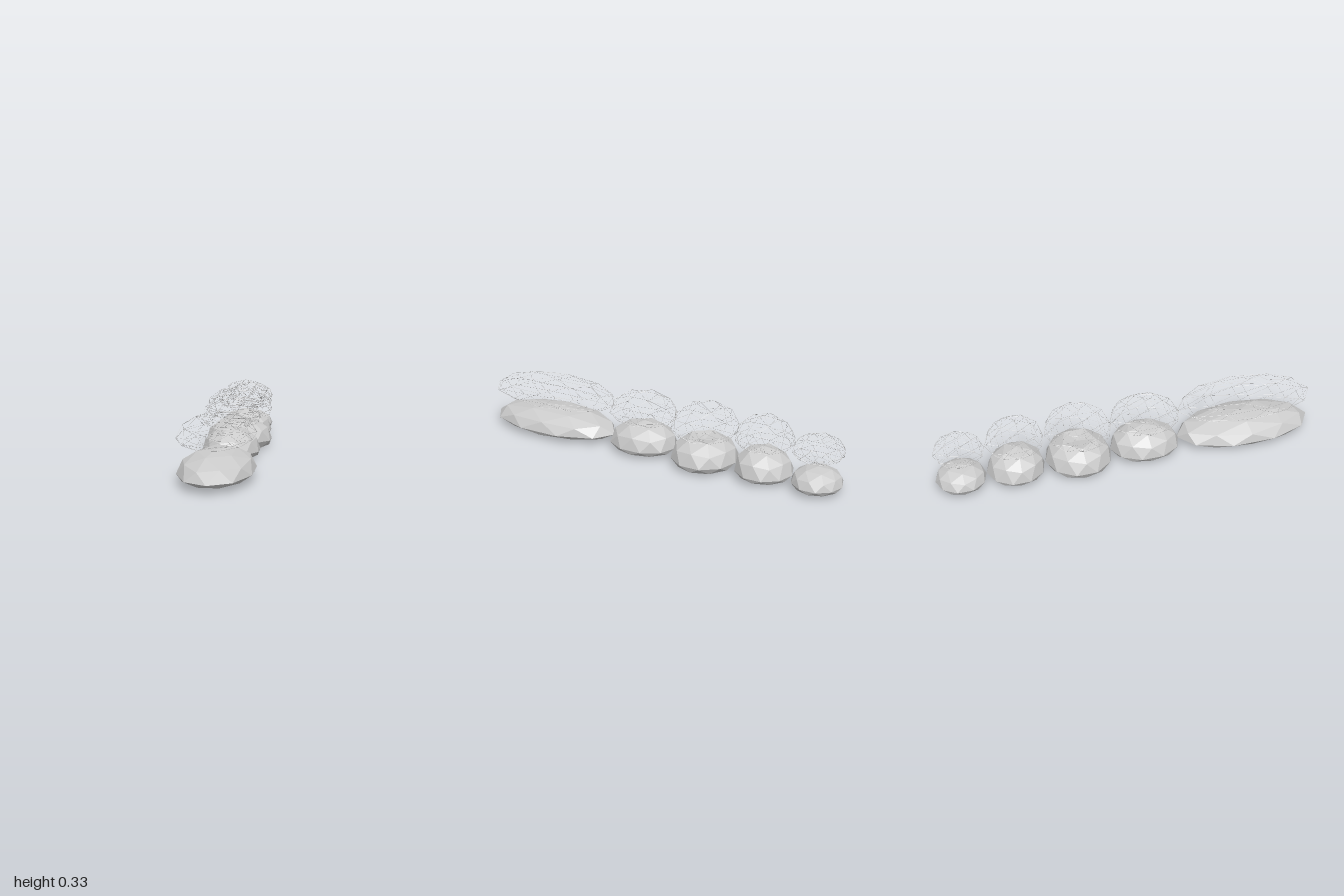
import * as THREE from 'three';
import { mergeGeometries } from 'three/addons/utils/BufferGeometryUtils.js';

const SEAM = 0.045;        // height of each stone's widest ring
const CAGE_LIFT = 0.16;    // height of the wire cages above the stones
const WIRE = 0.0007;

// z: centre, rx / rz: radii, top / bottom: heights, crown: relative height of the pole, lean: z shift of the crown
const STONES = [
  { name: 'longFrontStone', z: 0.63, rx: 0.179, rz: 0.37, top: 0.143, bottom: 0.016, crown: 1, lean: -0.02 },
  { name: 'secondStone', z: 0.085, rx: 0.148, rz: 0.185, top: 0.165, bottom: 0.01, crown: 1, lean: -0.01 },
  { name: 'middleStone', z: -0.27, rx: 0.178, rz: 0.172, top: 0.168, bottom: 0.003, crown: 0.74, lean: 0 },
  { name: 'fourthStone', z: -0.595, rx: 0.148, rz: 0.148, top: 0.168, bottom: 0.014, crown: 1, lean: 0.01 },
  { name: 'smallBackStone', z: -0.872, rx: 0.13, rz: 0.128, top: 0.125, bottom: 0.014, crown: 1, lean: 0 },
];

// Faceted ball with a pole pointing up, domed above the seam and flattened below it
function stoneGeometry({ z, rx, rz, top, bottom, crown, lean }) {
  const geo = new THREE.IcosahedronGeometry(1, 1);
  geo.rotateX(-Math.atan2((1 + Math.sqrt(5)) / 2, 1));
  geo.rotateY(-Math.PI / 2);
  const p = geo.attributes.position;
  for (let i = 0; i < p.count; i++) {
    const s = p.getY(i);
    let y;
    if (s >= 0) y = SEAM + (top - SEAM) * (s > 0.95 ? crown : s);
    else y = SEAM - (SEAM - bottom) * (1 - (1 + s) ** 2);
    p.setXYZ(i, p.getX(i) * rx, y, z + p.getZ(i) * rz + lean * Math.max(s, 0));
  }
  geo.computeVertexNormals();
  return geo;
}

// Hair-thin rods along every edge of a geometry
function cageGeometry(geo) {
  const p = new THREE.WireframeGeometry(geo).attributes.position;
  const up = new THREE.Vector3(0, 1, 0);
  const one = new THREE.Vector3(1, 1, 1);
  const rods = [];
  for (let i = 0; i < p.count; i += 2) {
    const a = new THREE.Vector3().fromBufferAttribute(p, i);
    const b = new THREE.Vector3().fromBufferAttribute(p, i + 1);
    const dir = b.clone().sub(a);
    const length = dir.length();
    const turn = new THREE.Quaternion().setFromUnitVectors(up, dir.normalize());
    const rod = new THREE.CylinderGeometry(WIRE, WIRE, length, 3, 1, true);
    rod.applyMatrix4(new THREE.Matrix4().compose(a.add(b).multiplyScalar(0.5), turn, one));
    rods.push(rod);
  }
  return mergeGeometries(rods);
}

export function createModel() {
  const group = new THREE.Group();
  group.name = 'stoneRow';
  const material = new THREE.MeshStandardMaterial({ color: 0xcccccc, flatShading: true });
  for (const spec of STONES) {
    const geo = stoneGeometry(spec);
    const stone = new THREE.Mesh(geo, material);
    stone.name = spec.name;
    // Matching wire cage floating above the stone
    const cage = new THREE.Mesh(cageGeometry(geo), material);
    cage.name = spec.name + 'WireCage';
    cage.position.y = CAGE_LIFT;
    group.add(stone, cage);
  }
  // Stand the lowest stone on the ground
  group.children.forEach((m) => { m.position.y -= 0.003; });
  return group;
}
